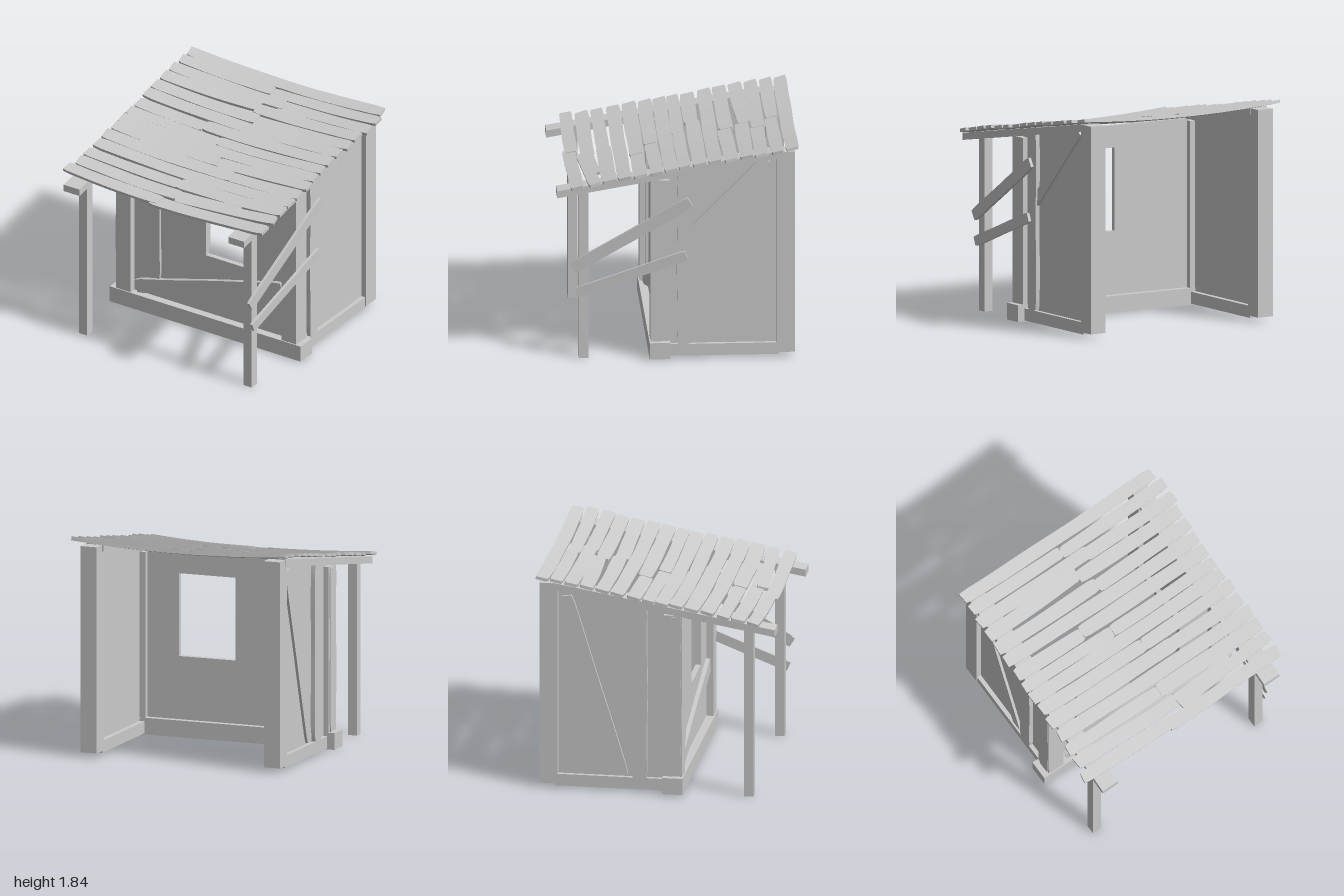
import * as THREE from 'three';

const material = new THREE.MeshStandardMaterial({ color: 0xcccccc });
const SLOPE = 0.171;                                  // roof fall towards the front
const rafterTop = (z) => 1.46 + (1 - z) * SLOPE;
const rafterBottom = (z) => 1.4 + (1 - z) * SLOPE;

let seed = 7;
const rand = () => (seed = (seed * 16807) % 2147483647) / 2147483647;
const V = (x, y, z) => new THREE.Vector3(x, y, z);

export function createModel() {
  const group = new THREE.Group();

  const add = (name, geometry) => {
    const mesh = new THREE.Mesh(geometry, material);
    mesh.name = name;
    group.add(mesh);
    return mesh;
  };

  // Square timber from its two opposite corners
  const beam = (name, x0, x1, y0, y1, z0, z1) =>
    add(name, new THREE.BoxGeometry(x1 - x0, y1 - y0, z1 - z0)
      .translate((x0 + x1) / 2, (y0 + y1) / 2, (z0 + z1) / 2));

  // Rough sawn board along x: wavy long edges and clipped end corners
  const board = (length, width, thick, wobble = 0.05) => {
    const g = new THREE.BoxGeometry(length, thick, width, 24, 1, 2);
    const p = g.attributes.position;
    const phase = [rand() * 6, rand() * 6];
    const skew = (rand() - 0.5) * 0.03;
    for (let i = 0; i < p.count; i++) {
      const x = p.getX(i), side = Math.sign(Math.round(p.getZ(i) * 1e4));
      const wave = Math.sin(x * 7 + phase[side > 0 ? 1 : 0]) * wobble;
      const atEnd = Math.abs(x) > length / 2 - 1e-4;
      p.setZ(i, side * width / 2 * (1 + wave) * (atEnd ? 0.86 : 1));
      if (atEnd) p.setX(i, x + side * skew * 0.5);
    }
    return g;
  };

  // Board laid from a to b with its broad face towards normal n
  const plank = (name, a, b, n, width, thick, wobble) => {
    const dir = b.clone().sub(a);
    const g = board(dir.length(), width, thick, wobble);
    const X = dir.normalize();
    const Z = X.clone().cross(n).normalize();
    const Y = Z.clone().cross(X);
    const m = new THREE.Matrix4().makeBasis(X, Y, Z).setPosition(a.clone().add(b).multiplyScalar(0.5));
    g.applyMatrix4(m);
    g.computeVertexNormals();
    return add(name, g);
  };

  // Sills
  beam('frontSill', -0.965, 0.92, 0.01, 0.15, 0.07, 0.24);
  for (const [x0, x1] of [[-0.9, -0.77], [0.73, 0.86]]) beam('sideSill', x0, x1, 0.02, 0.12, -0.83, 0.08);

  // Posts on both sides
  for (const [x0, x1] of [[-0.91, -0.765], [0.725, 0.87]]) {
    beam('cornerPost', x0, x1, 0.15, 1.54, 0.075, 0.23);
    beam('backPost', x0, x1, 0.04, 1.77, -0.96, -0.81);
  }
  for (const x of [-0.885, 0.74]) beam('porchPost', x, x + 0.08, 0, 1.44, 0.74, 0.82);

  // Sloping rafters and side wall panels, both profiles in the (z, y) plane
  const sideProfile = (name, points, x0, x1) => {
    const shape = new THREE.Shape(points.map(([z, y]) => new THREE.Vector2(-z, y)));
    const g = new THREE.ExtrudeGeometry(shape, { depth: x1 - x0, bevelEnabled: false });
    add(name, g.rotateY(Math.PI / 2).translate(x0, 0, 0));
  };
  for (const [x0, x1] of [[-0.915, -0.76], [0.71, 0.865]]) {
    sideProfile('rafter', [[1, rafterBottom(1)], [-0.85, rafterBottom(-0.85)],
      [-0.85, rafterTop(-0.85)], [1, rafterTop(1)]], x0, x1);
  }
  for (const [x0, x1] of [[-0.865, -0.815], [0.775, 0.825]]) {
    sideProfile('sideWall', [[0.14, 0.1], [-0.85, 0.1],
      [-0.85, rafterBottom(-0.85) + 0.02], [0.14, rafterBottom(0.14) + 0.02]], x0, x1);
  }

  // Front wall with window opening
  const wall = new THREE.Shape([[-0.8, 0.1], [0.76, 0.1], [0.76, 1.56], [-0.8, 1.56]].map((p) => new THREE.Vector2(...p)));
  wall.holes.push(new THREE.Path([[-0.06, 0.68], [-0.06, 1.375], [0.445, 1.375], [0.445, 0.68]].map((p) => new THREE.Vector2(...p))));
  add('frontWall', new THREE.ExtrudeGeometry(wall, { depth: 0.045, bevelEnabled: false }).translate(0, 0, 0.125));

  // Patching boards on the walls
  const front = V(0, 0, 1), right = V(1, 0, 0), left = V(-1, 0, 0);
  plank('frontUprightBoard', V(-0.555, 0.335, 0.18), V(-0.555, 1.54, 0.18), front, 0.105, 0.03);
  plank('frontDiagonalBoard', V(-0.73, 0.208, 0.19), V(0.71, 0.605, 0.19), front, 0.125, 0.035, 0.03);
  plank('sideUprightBoard', V(0.84, 0.12, -0.05), V(0.84, 1.6, -0.05), right, 0.12, 0.045);
  plank('sideDiagonalBoard', V(0.835, 0.99, -0.035), V(0.835, 1.7, -0.73), right, 0.092, 0.025, 0.02);
  plank('sideUprightBoard', V(-0.88, 0.12, -0.13), V(-0.88, 1.6, -0.13), left, 0.13, 0.045);
  plank('sideDiagonalBoard', V(-0.875, 0.14, -0.27), V(-0.875, 1.66, -0.74), left, 0.1, 0.025, 0.02);
  plank('postFacing', V(-0.912, 0.15, 0.16), V(-0.912, 1.53, 0.16), left, 0.12, 0.012);

  // Loose braces from the porch post back to the wall
  plank('upperBrace', V(0.835, 0.785, 0.87), V(0.9, 1.36, -0.095), right, 0.098, 0.025, 0.02);
  plank('lowerBrace', V(0.84, 0.575, 0.84), V(0.9, 0.9, -0.065), right, 0.085, 0.025, 0.02);

  // Roof boards: [x0, x1, z at x0, z at x1, width]
  const roof = [
    [-0.96, 0.95, -0.935, -0.935, 0.11],
    [-0.96, -0.05, -0.815, -0.82, 0.105], [-0.05, 0.99, -0.81, -0.815, 0.105],
    [-0.97, 0.14, -0.69, -0.7, 0.115], [0.1, 0.99, -0.69, -0.68, 0.11],
    [-0.97, -0.04, -0.56, -0.6, 0.12], [-0.05, 0.96, -0.57, -0.56, 0.115],
    [-0.97, 0.04, -0.43, -0.44, 0.115], [0.03, 0.96, -0.425, -0.435, 0.115],
    [-0.97, 0.95, -0.31, -0.3, 0.115],
    [-0.96, -0.3, -0.17, -0.165, 0.115], [-0.3, 0.95, -0.18, -0.175, 0.12],
    [-0.97, -0.08, -0.05, -0.05, 0.1], [-0.08, 0.95, -0.05, -0.05, 0.1],
    [-0.97, 0.95, 0.06, 0.06, 0.115],
    [-0.96, 0.07, 0.18, 0.185, 0.115], [0.07, 0.97, 0.18, 0.18, 0.11],
    [-0.97, 0.29, 0.31, 0.31, 0.125], [0.28, 0.96, 0.31, 0.315, 0.115],
    [-0.96, 0.97, 0.44, 0.445, 0.115],
    [-0.97, -0.04, 0.575, 0.57, 0.105], [-0.05, 0.97, 0.57, 0.57, 0.125],
    [-0.97, 0.04, 0.7, 0.705, 0.115], [0.03, 0.97, 0.75, 0.69, 0.1],
    [0.03, 0.6, 0.69, 0.66, 0.07],
    [-1, -0.07, 0.83, 0.835, 0.105], [-0.14, 0.97, 0.85, 0.835, 0.11],
  ];
  roof.forEach(([x0, x1, z0, z1, width], i) => {
    const g = board(x1 - x0, width, 0.026, 0.04);
    g.rotateX(0.24);
    g.rotateY(-Math.atan2(z1 - z0, x1 - x0));
    const zc = (z0 + z1) / 2;
    g.translate((x0 + x1) / 2, rafterTop(zc) + 0.032 + (i % 2) * 0.006, zc);
    // Sag towards the middle of the roof
    const p = g.attributes.position;
    for (let k = 0; k < p.count; k++) {
      const x = p.getX(k);
      p.setY(k, p.getY(k) - 0.043 * (1 - x * x));
    }
    g.computeVertexNormals();
    add('roofBoard', g);
  });

  return group;
}
